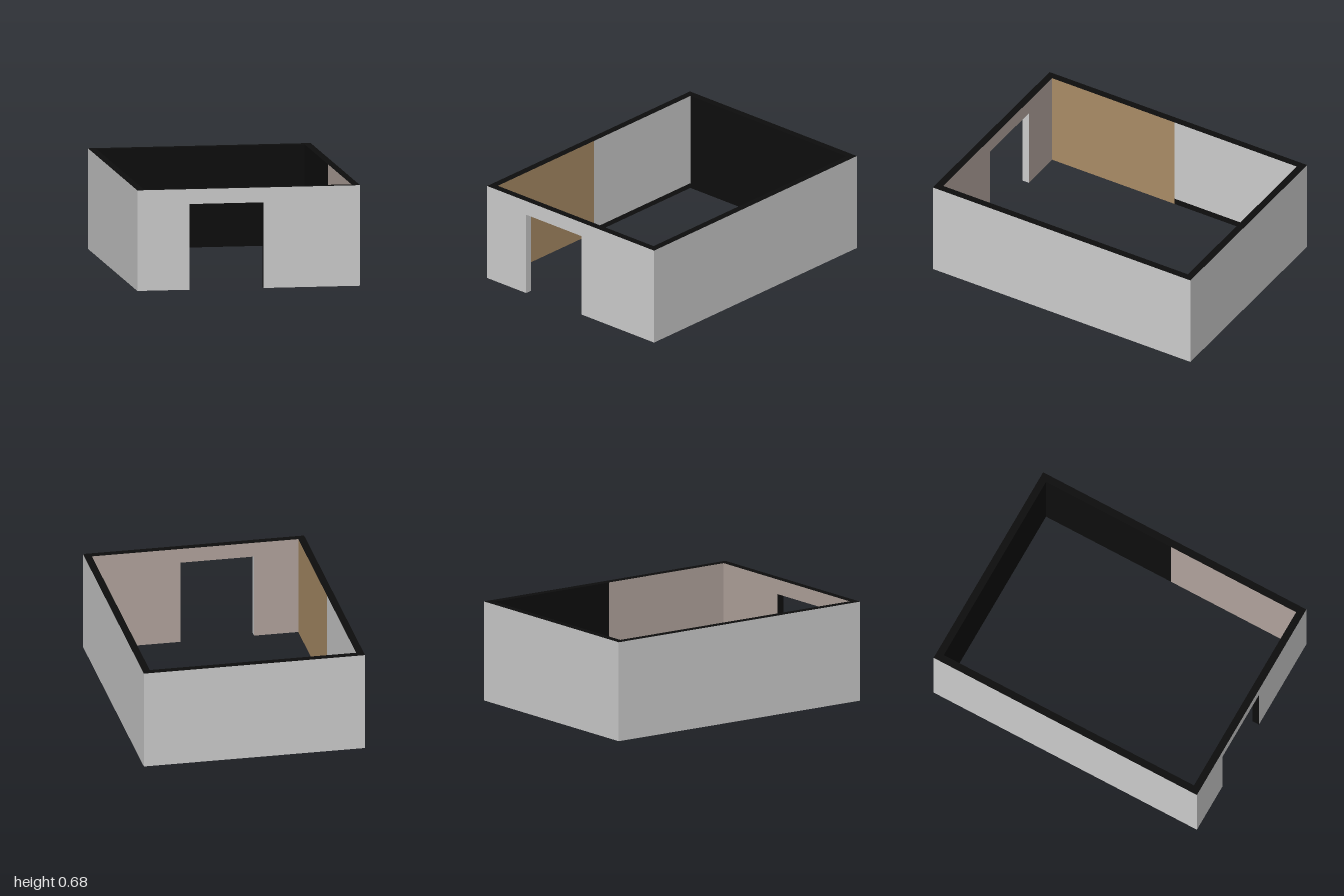
import * as THREE from 'three';

const W = 0.75, D = 1, H = 0.675, T = 0.05;   // half width, half depth, height, wall thickness
const DOOR_L = -0.4, DOOR_R = 0.1, DOOR_H = 0.575;

function material(name, color) {
  const m = new THREE.MeshStandardMaterial({ color, side: THREE.DoubleSide });
  m.name = name;
  return m;
}

export function createModel() {
  const plaster = material('grey plaster', 0xcccccc);
  const taupe = material('taupe paint', 0xb1a39c);
  const wood = material('brown paint', 0xaa8c66);
  const black = material('black paint', 0x0d0d0d);

  const room = new THREE.Group();
  room.name = 'room';

  const add = (name, geometry, mat) => {
    const mesh = new THREE.Mesh(geometry, mat);
    mesh.name = name;
    room.add(mesh);
    return mesh;
  };

  // Upright panel across x, facing +z (side 1) or -z (side -1)
  const panelX = (name, x0, x1, z, side, mat) => {
    const g = new THREE.PlaneGeometry(x1 - x0, H);
    if (side < 0) g.rotateY(Math.PI);
    add(name, g.translate((x0 + x1) / 2, H / 2, z), mat);
  };
  // Upright panel along z, facing +x (side 1) or -x (side -1)
  const panelZ = (name, z0, z1, x, side, mat, h = H) => {
    const g = new THREE.PlaneGeometry(z1 - z0, h).rotateY(side * Math.PI / 2);
    add(name, g.translate(x, h / 2, (z0 + z1) / 2), mat);
  };
  // Level strip facing up (side 1) or down (side -1)
  const strip = (name, x0, x1, z0, z1, y, side, mat) => {
    const g = new THREE.PlaneGeometry(x1 - x0, z1 - z0).rotateX(-side * Math.PI / 2);
    add(name, g.translate((x0 + x1) / 2, y, (z0 + z1) / 2), mat);
  };
  // Front wall skin with the doorway cut out
  const doorWall = (name, half, z, mat) => {
    const outline = [[-half, 0], [DOOR_L, 0], [DOOR_L, DOOR_H], [DOOR_R, DOOR_H],
      [DOOR_R, 0], [half, 0], [half, H], [-half, H]];
    const shape = new THREE.Shape(outline.map(([x, y]) => new THREE.Vector2(x, y)));
    add(name, new THREE.ShapeGeometry(shape).translate(0, 0, z), mat);
  };

  // Outer skins
  doorWall('frontWallOuter', W, D, plaster);
  panelX('backWallOuter', -W, W, -D, -1, plaster);
  panelZ('leftWallOuter', -D, D, W, 1, plaster);
  panelZ('rightWallOuter', -D, D, -W, -1, plaster);

  // Inner skins; the rear half of the right wall is left open to its outer skin
  const w = W - T, d = D - T;
  doorWall('frontWallInner', w, d, taupe);
  panelX('backWallInner', -w, w, -d, 1, black);
  panelZ('leftWallInnerFront', 0, d, w, -1, taupe);
  panelZ('leftWallInnerRear', -d, 0, w, -1, black);
  panelZ('rightWallInnerFront', 0, d, -w, 1, wood);

  // Wall tops and undersides
  for (const [edge, y, side] of [['Top', H, 1], ['Base', 0, -1]]) {
    strip('leftWall' + edge, w, W, -D, D, y, side, black);
    strip('rightWall' + edge, -W, -w, -D, D, y, side, black);
    strip('backWall' + edge, -w, w, -D, -d, y, side, black);
  }
  strip('frontWallTop', -w, w, d, D, H, 1, black);
  strip('frontWallBaseRight', -w, DOOR_L, d, D, 0, -1, black);
  strip('frontWallBaseLeft', DOOR_R, w, d, D, 0, -1, black);

  // Doorway lining
  panelZ('doorJambRight', d, D, DOOR_L, 1, plaster, DOOR_H);
  panelZ('doorJambLeft', d, D, DOOR_R, -1, black, DOOR_H);
  strip('doorLintel', DOOR_L, DOOR_R, d, D, DOOR_H, -1, black);

  return room;
}
